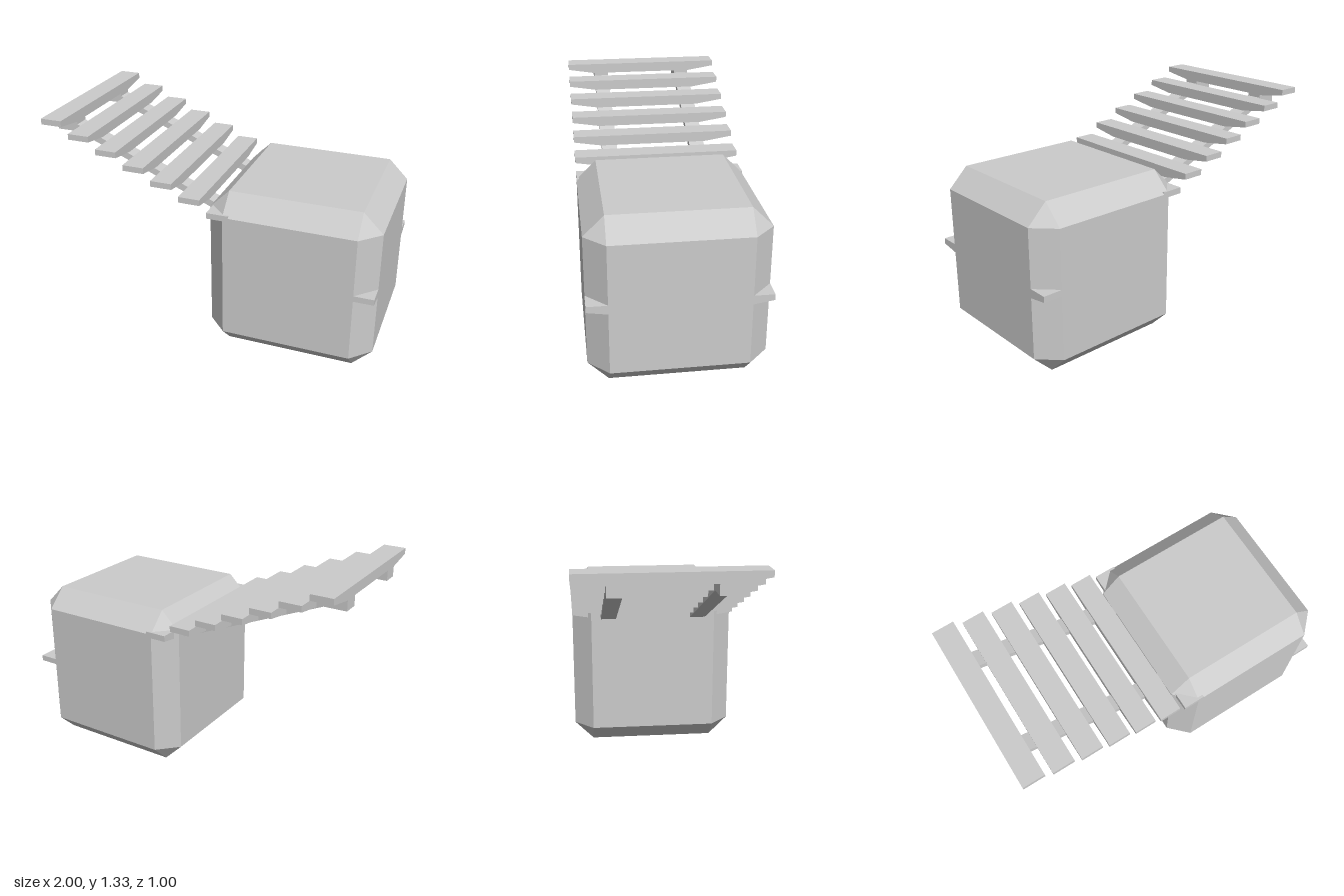
import * as THREE from 'three';
import { ConvexGeometry } from 'three/addons/geometries/ConvexGeometry.js';

const material = new THREE.MeshStandardMaterial({ color: 0xcccccc, flatShading: true });

function extrude(points, depth) {
  const shape = new THREE.Shape(points.map(([x, y]) => new THREE.Vector2(x, y)));
  return new THREE.ExtrudeGeometry(shape, { depth, bevelEnabled: false });
}

// Cube with every edge cut at 45 degrees: the hull of its six inset faces
function chamferedCube(half, chamfer) {
  const inner = half - chamfer;
  const points = [];
  for (const sx of [-1, 1]) for (const sy of [-1, 1]) for (const sz of [-1, 1]) {
    points.push(
      new THREE.Vector3(sx * half, sy * inner, sz * inner),
      new THREE.Vector3(sx * inner, sy * half, sz * inner),
      new THREE.Vector3(sx * inner, sy * inner, sz * half));
  }
  return new ConvexGeometry(points);
}

export function createModel() {
  const model = new THREE.Group();
  model.name = 'stairsWithBlock';
  const add = (name, geometry, x, y, z, parent = model) => {
    const mesh = new THREE.Mesh(geometry, material);
    mesh.name = name;
    mesh.position.set(x, y, z);
    parent.add(mesh);
    return mesh;
  };

  // Solid block standing on the ground
  add('block', chamferedCube(0.5, 0.116), 0.5, 0.5, 0);

  // Staircase running down through the block
  const stairs = new THREE.Group();
  stairs.name = 'stairs';
  model.add(stairs);

  // Treads, thinner towards both ends
  const treadGeometry = extrude([
    [-0.5, 0], [-0.5, -0.035], [-0.33, -0.062],
    [0.33, -0.062], [0.5, -0.035], [0.5, 0],
  ], 0.13).rotateY(Math.PI / 2);
  const count = 12;
  for (let i = 0; i < count; i++) {
    const t = i / (count - 1);
    add('tread', treadGeometry, -1 + 1.87 * t, 1.327 - 0.787 * t, 0, stairs);
  }

  // Sloping stringers, with a squared foot under the top tread
  const stringerGeometry = extrude([
    [-1, 1.204], [-0.87, 1.204], [0.9, 0.46], [0.9, 0.505],
    [-0.87, 1.247], [-0.87, 1.27], [-1, 1.27],
  ], 0.094);
  for (const z of [-0.325, 0.231]) add('stringer', stringerGeometry, 0, 0, z, stairs);

  return model;
}
